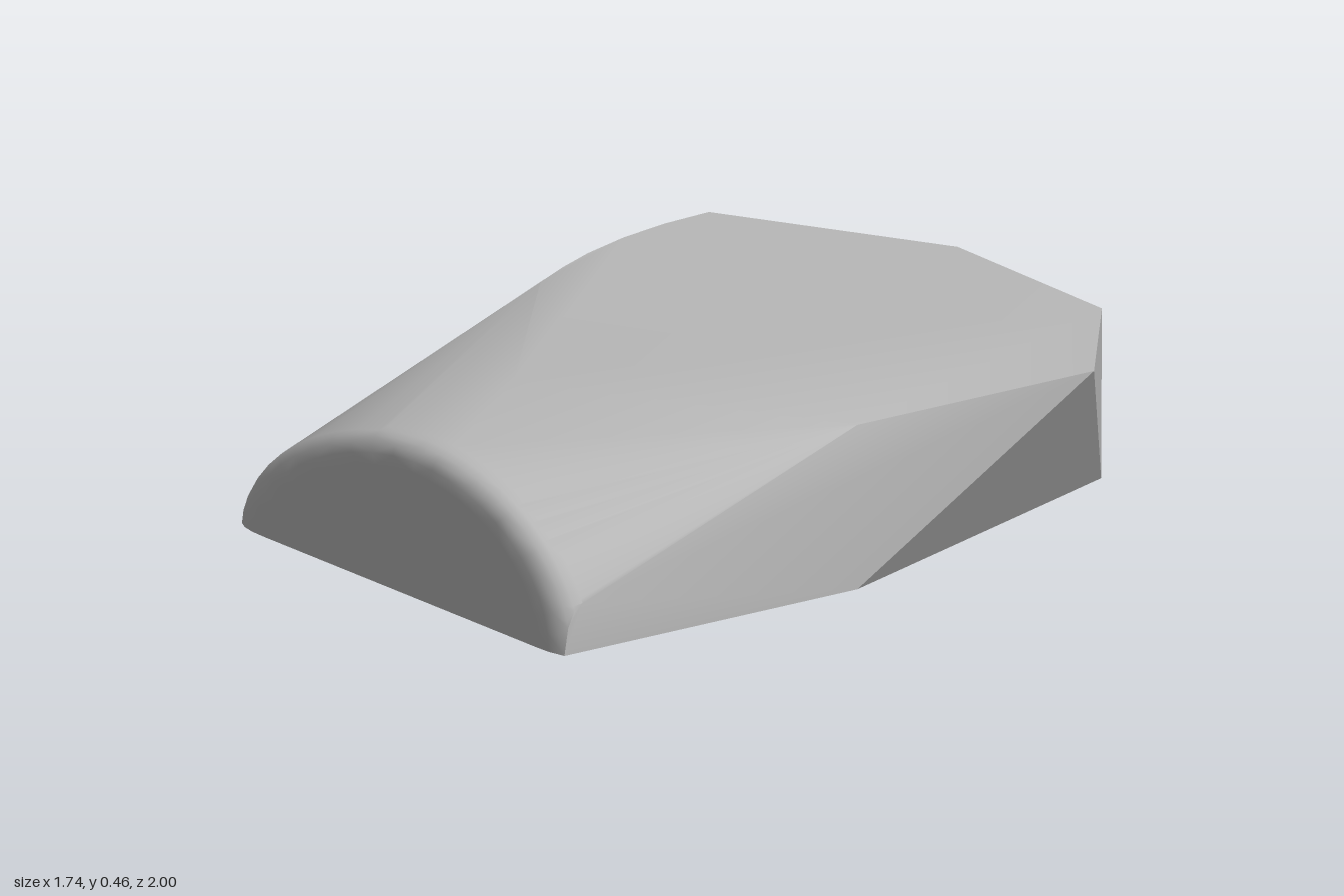
import * as THREE from 'three';
import { ConvexGeometry } from 'three/addons/geometries/ConvexGeometry.js';
import { toCreasedNormals } from 'three/addons/utils/BufferGeometryUtils.js';

const HEIGHT = 0.455, RIGHT = 0.87;

// Rounded front end: nested arches that shrink towards the front face.
function frontArch(z, scale) {
  const points = [], centre = 0.25, crown = 0.413 * scale;
  const leftSpan = 0.785 * scale, rightSpan = 0.653 * scale;
  const rightReach = Math.min(rightSpan, RIGHT - centre);
  const n = 12;
  for (let i = 0; i <= n; i++) {
    const s = Math.sin((i / n) * Math.PI / 2);
    const left = Math.pow(Math.max(0, 1 - Math.pow(s, 1.75)), 1 / 1.75);
    points.push(new THREE.Vector3(centre - s * leftSpan, crown * left, z));
    const u = s * rightReach / rightSpan;
    points.push(new THREE.Vector3(centre + s * rightReach, crown * Math.sqrt(Math.max(0, 1 - u * u)), z));
  }
  points.push(new THREE.Vector3(Math.min(RIGHT, centre + rightSpan), 0, z));
  return points;
}

// Sloping, slightly bulged side wall: [z, foot x, shoulder x].
function sideWall() {
  const stations = [
    [-0.67, -0.87, -0.73], [-0.52, -0.868, -0.72], [-0.37, -0.855, -0.69],
    [-0.22, -0.832, -0.64], [-0.1, -0.805, -0.585], [0.02, -0.775, -0.52]
  ];
  const points = [];
  for (const [z, foot, shoulder] of stations) {
    for (let i = 0; i <= 6; i++) {
      const t = i / 6;
      const x = foot + (shoulder - foot) * Math.pow(t, 1.5);
      points.push(new THREE.Vector3(x, HEIGHT * t, z));
    }
  }
  return points;
}

export function createModel() {
  const group = new THREE.Group();
  const stone = new THREE.MeshStandardMaterial({ color: 0xb8b8b8 });
  stone.name = 'stone grey';

  const corners = [
    // Back end
    [-0.12, 0, -0.995], [-0.12, HEIGHT, -1], [0.49, 0.447, -1], [0.5, 0, -0.99],
    // Flat side and its undercut corner
    [RIGHT, 0.437, -0.69], [RIGHT, 0.437, 0.06], [RIGHT, 0, 0.06],
    // Front limit of the flat top
    [0.1, HEIGHT, 0.57], [RIGHT, 0, 0.987]
  ].map(p => new THREE.Vector3(...p));

  const arches = [[0.93, 1], [0.955, 0.988], [0.975, 0.965], [0.99, 0.925], [0.998, 0.87], [1, 0.8]];
  const points = [...corners, ...sideWall(), ...arches.flatMap(([z, s]) => frontArch(z, s))];

  const body = new THREE.Mesh(toCreasedNormals(new ConvexGeometry(points), 0.55), stone);
  body.name = 'stoneBody';
  group.add(body);
  return group;
}
